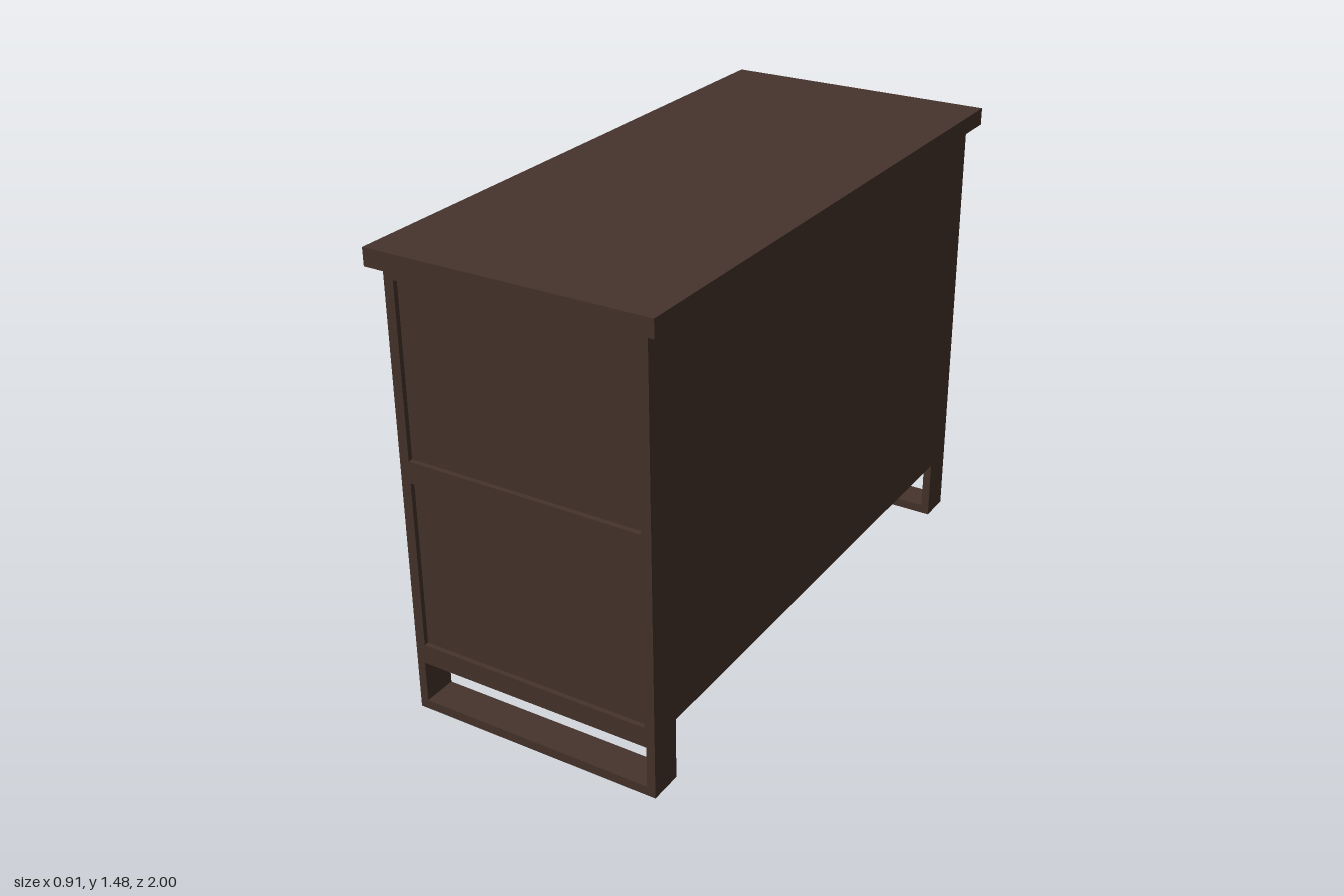
import * as THREE from 'three';

const wood = new THREE.MeshStandardMaterial({ color: 0x46342c });
wood.name = 'darkWood';
const glass = new THREE.MeshStandardMaterial({ color: 0xb3b1ac });
glass.name = 'paleGlass';

// rectangles are [x0, x1, y0, y1]
const outline = (target, [x0, x1, y0, y1]) =>
  target.moveTo(x0, y0).lineTo(x1, y0).lineTo(x1, y1).lineTo(x0, y1).closePath();

const grow = ([a, b, c, d], g) => [a - g, b + g, c - g, d + g];

// flat board with rectangular openings, extruded along +z
function board(rect, holes, depth) {
  const shape = outline(new THREE.Shape(), rect);
  for (const h of holes) shape.holes.push(outline(new THREE.Path(), h));
  return new THREE.ExtrudeGeometry(shape, { depth, bevelEnabled: false });
}

export function createModel() {
  const model = new THREE.Group();
  const W = 0.417, L = 0.97, INSET = 0.955, FLOOR = 0.2, TOP = 1.425;

  const add = (name, geometry, material = wood, parent = model) => {
    const mesh = new THREE.Mesh(geometry, material);
    mesh.name = name;
    parent.add(mesh);
    return mesh;
  };
  const block = (name, x0, x1, y0, y1, z0, z1) =>
    add(name, new THREE.BoxGeometry(x1 - x0, y1 - y0, z1 - z0))
      .position.set((x0 + x1) / 2, (y0 + y1) / 2, (z0 + z1) / 2);

  // worktop and carcass
  block('worktop', -0.455, 0.455, TOP, 1.48, -1, 1);
  block('carcass', -0.4, W, FLOOR, TOP, -INSET, INSET);

  // panelled ends standing on open sled feet
  const footGap = [-0.39, 0.39, 0.03, 0.165];
  const endPanels = [[-0.385, 0.385, 0.23, 0.775], [-0.385, 0.385, 0.845, 1.39]];
  for (const side of [1, -1]) {
    const end = new THREE.Group();
    end.name = side > 0 ? 'frontEnd' : 'backEnd';
    if (side < 0) end.rotation.y = Math.PI;
    model.add(end);
    add('endFrame', board([-W, W, 0, TOP], [footGap, ...endPanels], L - INSET), wood, end)
      .position.z = INSET;
    add('foot', board([-W, W, 0, FLOOR], [footGap], INSET - 0.86), wood, end)
      .position.z = 0.86;
  }

  // cabinet face: drawn with z across and y up, projecting towards -x
  const face = new THREE.Group();
  face.name = 'cabinetFace';
  face.rotation.y = -Math.PI / 2;
  face.position.x = -0.4;
  model.add(face);

  const drawers = [], doors = [[-0.545, -0.015, 0.21, 0.8], [0.015, 0.545, 0.21, 0.8]];
  for (const [a, b] of [[-0.835, -0.57], [0.57, 0.835]])
    drawers.push([a, b, 0.21, 0.495], [a, b, 0.52, 0.8]);
  const windows = [[-0.8, -0.48], [-0.405, -0.085], [0.05, 0.36], [0.485, 0.805]]
    .map(([a, b]) => [a, b, 0.86, 1.38]);
  const windowDoors = windows.map((w) => grow(w, 0.03));

  add('faceFrame', board([-INSET, INSET, FLOOR, TOP], [...drawers, ...doors, ...windowDoors], 0.017), wood, face);

  for (const d of drawers) add('drawerFront', board(grow(d, -0.006), [], 0.013), wood, face);

  for (const d of doors) {
    add('doorFrame', board(grow(d, -0.005), [grow(d, -0.05)], 0.014), wood, face);
    add('doorPanel', board(grow(d, -0.05), [], 0.005), wood, face);
  }

  // glazed doors with four columns and five rows of panes
  windows.forEach((w, i) => {
    const [x0, x1, y0, y1] = w;
    add('windowPane', board(w, [], 0.003), glass, face);
    const panes = [];
    const cols = 4, rows = 5, bar = 0.012;
    const pw = (x1 - x0 - bar * (cols - 1)) / cols;
    const ph = (y1 - y0 - bar * (rows - 1)) / rows;
    for (let c = 0; c < cols; c++)
      for (let r = 0; r < rows; r++) {
        const x = x0 + c * (pw + bar), y = y0 + r * (ph + bar);
        panes.push([x, x + pw, y, y + ph]);
      }
    add('windowLattice', board(grow(windowDoors[i], -0.004), panes, 0.013), wood, face);
  });

  return model;
}
